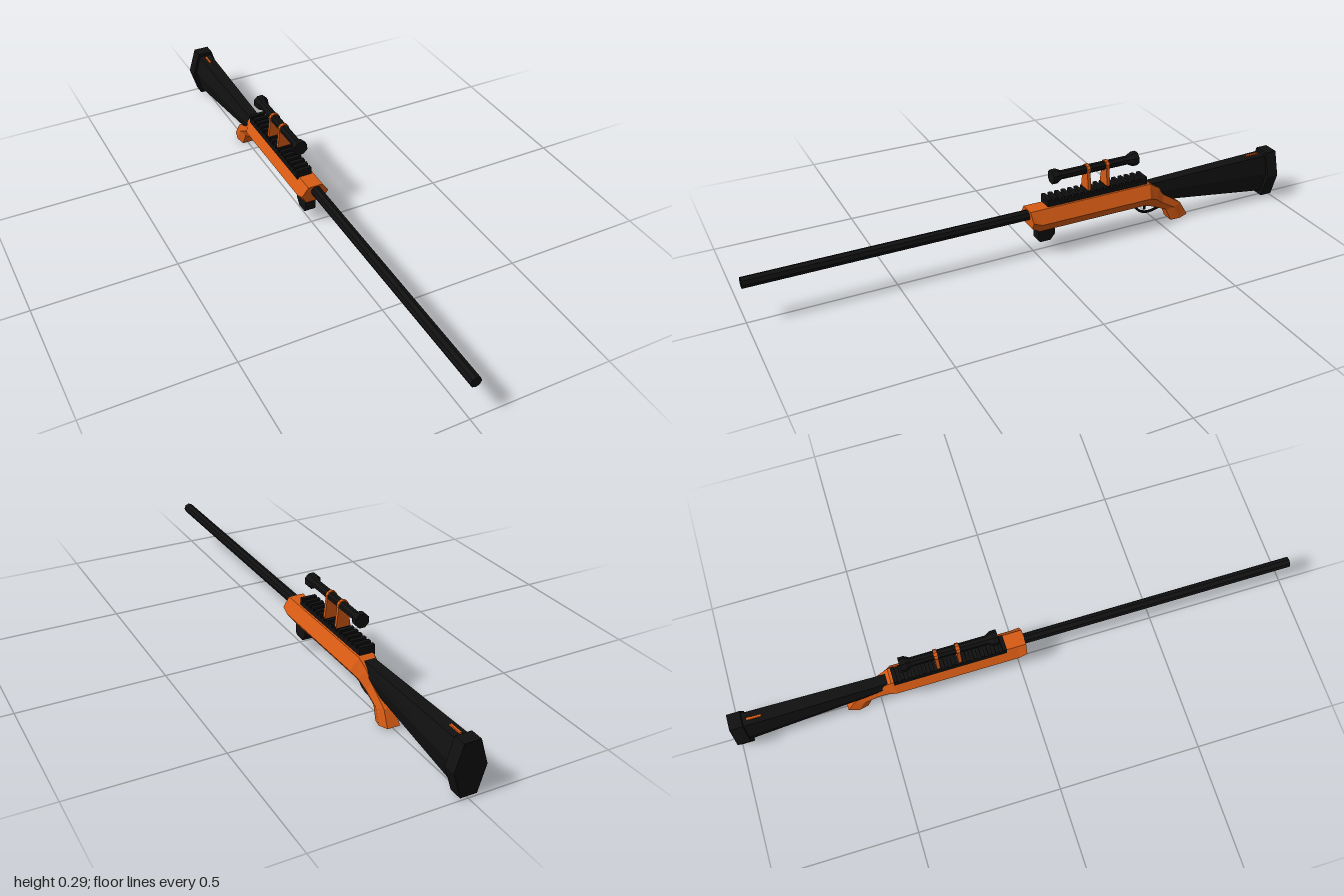
import * as THREE from 'three';

const orange = new THREE.MeshStandardMaterial({ color: 0xd65a14, flatShading: true });
const black = new THREE.MeshStandardMaterial({ color: 0x101010, flatShading: true });

// Six-sided loft running front to back. Each section:
// [topZ, topY, bottomZ, bottomY, topHalfWidth, midHalfWidth, bottomHalfWidth]
function loft(sections, cx, midAt = 0.48) {
  const pos = [], index = [], n = 6;
  for (const [tz, ty, bz, by, tw, mw, bw] of sections) {
    const my = by + (ty - by) * midAt, mz = bz + (tz - bz) * midAt;
    pos.push(cx + tw, ty, tz, cx - tw, ty, tz, cx - mw, my, mz,
      cx - bw, by, bz, cx + bw, by, bz, cx + mw, my, mz);
  }
  for (let i = 0; i < sections.length - 1; i++) {
    for (let j = 0; j < n; j++) {
      const a = i * n + j, b = i * n + (j + 1) % n;
      index.push(a, a + n, b, b, a + n, b + n);
    }
  }
  const last = (sections.length - 1) * n;
  for (let k = 1; k < n - 1; k++) {
    index.push(0, k, k + 1, last, last + k + 1, last + k);
  }
  const g = new THREE.BufferGeometry();
  g.setAttribute('position', new THREE.Float32BufferAttribute(pos, 3));
  g.setIndex(index);
  const flat = g.toNonIndexed();
  flat.computeVertexNormals();
  return flat;
}

// Side outline of [z, y] points, given a thickness across x
function sideExtrude(points, width, cx) {
  const shape = new THREE.Shape(points.map(([z, y]) => new THREE.Vector2(-z, y)));
  const g = new THREE.ExtrudeGeometry(shape, { depth: width, bevelEnabled: false });
  return g.translate(0, 0, -width / 2).rotateY(Math.PI / 2).translate(cx, 0, 0);
}

export function createModel() {
  const model = new THREE.Group();
  const add = (name, geometry, material, x = 0, y = 0, z = 0, parent = model) => {
    const mesh = new THREE.Mesh(geometry, material);
    mesh.name = name;
    mesh.position.set(x, y, z);
    parent.add(mesh);
    return mesh;
  };

  // Faceted body that bends down into the grip
  add('bodyAndGrip', loft([
    [0.025, 0.176, 0.02, 0.112, 0.027, 0.05, 0.033],
    [0.0, 0.176, -0.015, 0.088, 0.027, 0.052, 0.019],
    [-0.45, 0.176, -0.43, 0.088, 0.027, 0.052, 0.019],
    [-0.49, 0.15, -0.455, 0.083, 0.022, 0.04, 0.019],
    [-0.515, 0.115, -0.495, 0.066, 0.018, 0.031, 0.019],
    [-0.59, 0.065, -0.53, 0.05, 0.018, 0.028, 0.019],
    [-0.62, 0.013, -0.55, 0.004, 0.022, 0.031, 0.022],
  ], 0.003), orange);

  // Barrel
  add('barrel', new THREE.CylinderGeometry(0.019, 0.019, 1.02, 8).rotateX(Math.PI / 2),
    black, 0.005, 0.155, 0.49);

  // Flared stock, butt pad and the small inlay on the comb
  add('stock', loft([
    [-0.45, 0.168, -0.45, 0.1, 0.018, 0.024, 0.014],
    [-0.96, 0.178, -0.96, 0.032, 0.024, 0.042, 0.024],
  ], -0.001, 0.52), black);
  add('buttPad', loft([
    [-0.955, 0.19, -0.955, 0.012, 0.028, 0.055, 0.028],
    [-1.0, 0.19, -1.0, 0.012, 0.028, 0.055, 0.028],
  ], -0.001, 0.5), black);
  add('stockInlay', new THREE.BoxGeometry(0.008, 0.01, 0.05), orange, -0.004, 0.177, -0.915);

  // Toothed rail
  const rail = new THREE.Group();
  rail.name = 'rail';
  model.add(rail);
  add('railBase', new THREE.BoxGeometry(0.055, 0.022, 0.395), black, -0.005, 0.18, -0.243, rail);
  const teeth = 16;
  for (let i = 0; i < teeth; i++) {
    add('railTooth', new THREE.BoxGeometry(0.055, 0.014, 0.014), black,
      -0.005, 0.196, -0.053 - i * 0.38 / (teeth - 1), rail);
  }

  // Scope: thin tube with a flared bell at each end
  const scope = new THREE.Group();
  scope.name = 'scope';
  scope.position.set(-0.005, 0.274, -0.238);
  model.add(scope);
  const profile = [[0, -0.168], [0.026, -0.168], [0.026, -0.148], [0.016, -0.13],
    [0.016, 0.13], [0.026, 0.148], [0.026, 0.168], [0, 0.168]];
  add('scopeTube', new THREE.LatheGeometry(profile.map(p => new THREE.Vector2(...p)), 8)
    .rotateY(Math.PI / 8).rotateX(Math.PI / 2), black, 0, 0, 0, scope);

  // Scope mounts: tapered post with a ring around the tube
  const post = new THREE.Shape([[-0.026, -0.075], [0.026, -0.075], [0.017, 0], [-0.017, 0]]
    .map(p => new THREE.Vector2(...p)));
  for (const z of [0.03, -0.045]) {
    add('mountPost', new THREE.ExtrudeGeometry(post, { depth: 0.012, bevelEnabled: false }),
      orange, 0, 0, z - 0.006, scope);
    add('mountRing', new THREE.CylinderGeometry(0.0195, 0.0195, 0.012, 10).rotateX(Math.PI / 2),
      orange, 0, 0, z, scope);
  }

  // Magazine with cut corners
  add('magazine', sideExtrude([[-0.01, 0.1], [-0.075, 0.1], [-0.075, 0.066],
    [-0.058, 0.044], [-0.018, 0.044], [-0.01, 0.052]], 0.039, 0.001), black);

  // Trigger guard and trigger
  const guard = new THREE.CatmullRomCurve3([[0.092, -0.4], [0.062, -0.425], [0.05, -0.455],
    [0.053, -0.49], [0.062, -0.515]].map(([y, z]) => new THREE.Vector3(0.003, y, z)));
  add('triggerGuard', new THREE.TubeGeometry(guard, 10, 0.005, 6), black);
  add('trigger', sideExtrude([[-0.443, 0.092], [-0.453, 0.092], [-0.45, 0.064],
    [-0.444, 0.062]], 0.008, 0.003), black);

  return model;
}
